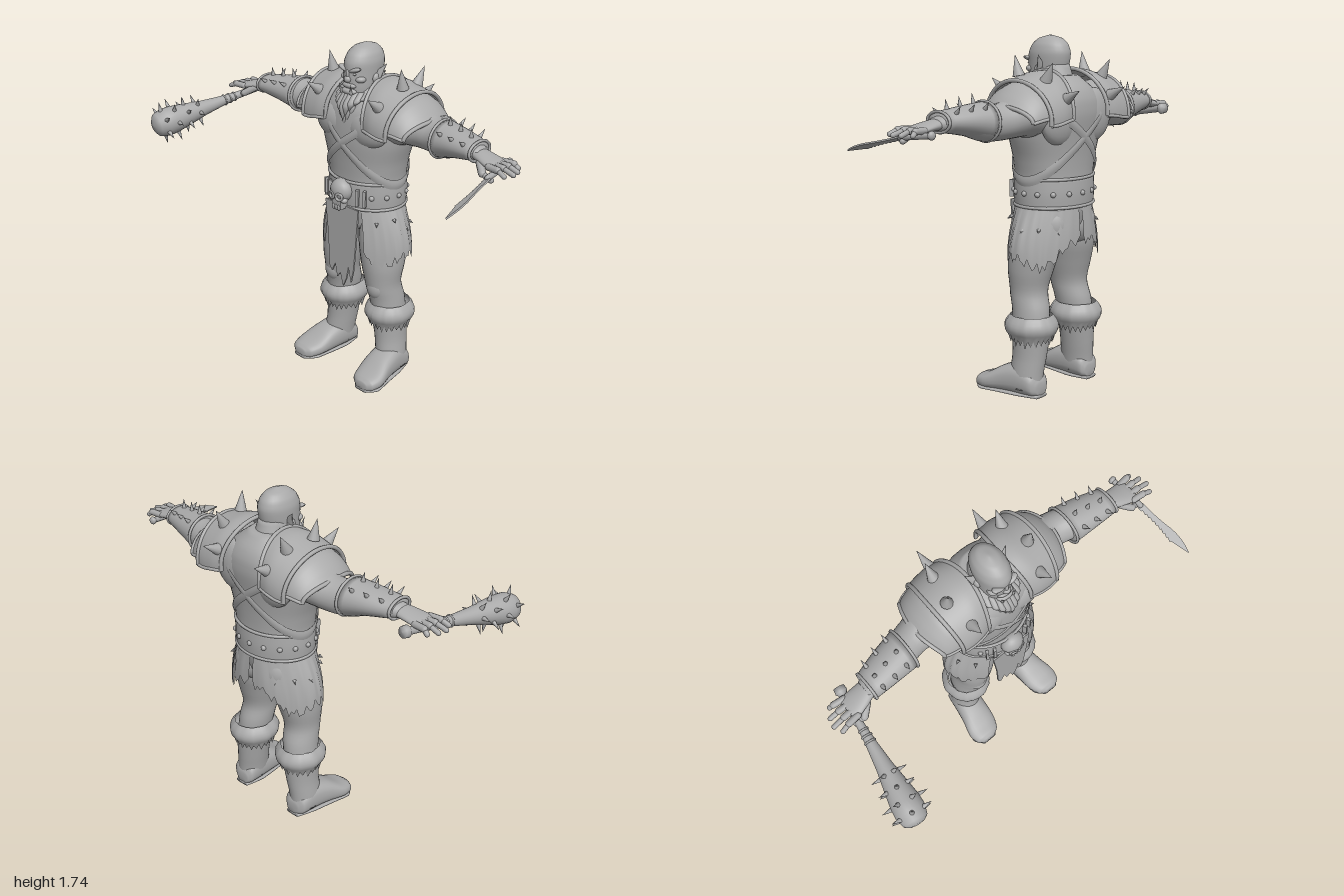
import * as THREE from 'three';

const grey = new THREE.MeshStandardMaterial({ color: 0xaaaaaa, side: THREE.DoubleSide });
const V = (x, y, z) => new THREE.Vector3(x, y, z);
const X = V(1, 0, 0), Y = V(0, 1, 0), Z = V(0, 0, 1);

export function createModel() {
  const model = new THREE.Group();
  model.name = 'armouredWarrior';
  const body = new THREE.Group();
  body.name = 'body';
  body.position.x = 0.045;
  model.add(body);

  const add = (name, geo, pos) => {
    const m = new THREE.Mesh(geo, grey);
    m.name = name;
    if (pos) m.position.copy(pos);
    body.add(m);
    return m;
  };
  const gridGeometry = (verts, idx) => {
    const g = new THREE.BufferGeometry();
    g.setAttribute('position', new THREE.Float32BufferAttribute(verts, 3));
    g.setIndex(idx);
    g.computeVertexNormals();
    return g;
  };
  // Smooth closed body through elliptical sections [x, y, z, ru, rv]
  const loft = (name, secs, u, v, pow = 1, n = 28) => {
    const first = V(...secs[0]), last = V(...secs[secs.length - 1]);
    if (u.clone().cross(v).dot(last.clone().sub(first)) < 0) {
      [u, v] = [v, u];
      secs = secs.map(([x, y, z, a, b]) => [x, y, z, b, a]);
    }
    const rnd = c => Math.sign(c) * Math.abs(c) ** pow, verts = [], idx = [];
    const curve = new THREE.CatmullRomCurve3(secs.map(s => V(...s)));
    const radii = new THREE.CatmullRomCurve3(secs.map(s => V(s[3], s[4], 0)));
    const rows = (secs.length - 1) * 4;
    for (let i = 0; i <= rows; i++) {
      const c = curve.getPoint(i / rows), r = radii.getPoint(i / rows);
      for (let j = 0; j < n; j++) {
        const a = j / n * Math.PI * 2;
        const p = c.clone().addScaledVector(u, r.x * rnd(Math.cos(a))).addScaledVector(v, r.y * rnd(Math.sin(a)));
        verts.push(p.x, p.y, p.z);
        const k = (j + 1) % n, b = i * n;
        if (i < rows) idx.push(b + j, b + k, b + n + j, b + k, b + n + k, b + n + j);
      }
    }
    verts.push(...first.toArray(), ...last.toArray());
    const e = (rows + 1) * n;
    for (let j = 0; j < n; j++) {
      const k = (j + 1) % n;
      idx.push(e, k, j, e + 1, rows * n + j, rows * n + k);
    }
    return add(name, gridGeometry(verts, idx));
  };
  // Open surface from a point function f(s, t)
  const sheet = (name, f, ns, nt) => {
    const verts = [], idx = [];
    for (let i = 0; i <= ns; i++) for (let j = 0; j <= nt; j++) {
      verts.push(...f(i / ns, j / nt).toArray());
      const a = i * (nt + 1) + j, b = a + nt + 1;
      if (i < ns && j < nt) idx.push(a, b, a + 1, b, b + 1, a + 1);
    }
    return add(name, gridGeometry(verts, idx));
  };
  const ball = (name, x, y, z, rx, ry, rz) => {
    const m = add(name, new THREE.SphereGeometry(1, 20, 14), V(x, y, z));
    m.scale.set(rx, ry, rz);
    return m;
  };
  const spike = (name, base, dir, len, r, n = 12) => {
    const d = dir.clone().normalize();
    const m = add(name, new THREE.ConeGeometry(r, len, n), base.clone().addScaledVector(d, len / 2 - 0.008));
    m.quaternion.setFromUnitVectors(Y, d);
    return m;
  };
  const tube = (name, pts, r, closed = false) =>
    add(name, new THREE.TubeGeometry(new THREE.CatmullRomCurve3(pts, closed), pts.length * 5, r, 8, closed));
  const limb = (name, a, b, r) => {
    const m = add(name, new THREE.CapsuleGeometry(r, a.distanceTo(b), 4, 10), a.clone().add(b).multiplyScalar(0.5));
    m.quaternion.setFromUnitVectors(Y, b.clone().sub(a).normalize());
    return m;
  };
  const noise = i => { const q = Math.sin(i * 127.1) * 43758.5; return q - Math.floor(q); };

  // Torso: [x, y, z, half width, half depth]
  const torso = [[0, 0.82, -0.18, 0.17, 0.145], [0, 0.93, -0.185, 0.2, 0.165], [0, 1.08, -0.185, 0.205, 0.165],
    [0, 1.17, -0.185, 0.22, 0.17], [0, 1.27, -0.187, 0.25, 0.18], [0, 1.36, -0.195, 0.265, 0.185],
    [0, 1.43, -0.2, 0.235, 0.178], [0, 1.49, -0.205, 0.17, 0.15], [0, 1.55, -0.2, 0.09, 0.1]];
  loft('torso', torso, X, Z, 0.9, 40);
  const girth = y => {
    let i = 0;
    while (i < torso.length - 2 && torso[i + 1][1] < y) i++;
    const t = Math.min(1, Math.max(0, (y - torso[i][1]) / (torso[i + 1][1] - torso[i][1])));
    return torso[i].map((c, k) => c + (torso[i + 1][k] - c) * t);
  };
  for (const s of [-1, 1]) {
    ball('chestMuscle', s * 0.1, 1.345, -0.075, 0.13, 0.1, 0.07);
    ball('shoulderBlade', s * 0.12, 1.36, -0.32, 0.12, 0.13, 0.055);
    ball('buttock', s * 0.085, 0.84, -0.26, 0.095, 0.11, 0.085);
  }
  // Crossed harness straps
  for (const s of [-1, 1]) {
    sheet('harnessStrap', (a, t) => {
      const th = a * Math.PI * 2, x = 0.25 * Math.sin(th), y = 1.265 + s * 0.82 * x + (t - 0.5) * 0.05;
      const g = girth(y), w = 1.05 + 0.025 * Math.sin(Math.PI * t);
      return V(g[3] * w * Math.sin(th), y, g[2] + (g[4] + 0.004) * w * Math.cos(th));
    }, 72, 4);
  }

  // Belt, rims, studs and skull buckle
  const oval = (y, rx, rz, z = -0.185, x = 0) => Array.from({ length: 16 }, (_, i) =>
    V(x + rx * Math.sin(i * Math.PI / 8), y, z + rz * Math.cos(i * Math.PI / 8)));
  loft('belt', [[0, 0.93, -0.185, 0.21, 0.176], [0, 1, -0.185, 0.214, 0.18], [0, 1.07, -0.185, 0.211, 0.177]], X, Z, 1, 40);
  for (const y of [0.935, 1.07]) tube('beltRim', oval(y, 0.21, 0.176), 0.008, true);
  for (let i = 2; i < 15; i++) {
    const a = i * Math.PI / 8;
    ball('beltStud', 0.213 * Math.sin(a), 1, -0.185 + 0.179 * Math.cos(a), 0.013, 0.013, 0.013);
  }
  for (const s of [-1, 1]) for (const d of [-0.018, 0.018])
    add('beltLoop', new THREE.BoxGeometry(0.014, 0.085, 0.02), V(s * 0.115 + d, 1, -0.02 - s * d * 0.4)).rotation.y = s * 0.45;
  ball('skull', 0, 1.02, 0.0, 0.062, 0.06, 0.05);
  add('skullJaw', new THREE.BoxGeometry(0.06, 0.05, 0.05), V(0, 0.955, 0.012));
  for (const s of [-1, 1]) {
    const eye = add('skullEyeSocket', new THREE.TorusGeometry(0.017, 0.007, 8, 16), V(s * 0.025, 1.0, 0.042));
    eye.rotation.y = s * 0.3;
    ball('skullCheek', s * 0.04, 0.98, 0.02, 0.018, 0.014, 0.02);
  }
  for (let i = -1; i <= 1; i++) ball('skullTooth', i * 0.018, 0.938, 0.036, 0.009, 0.016, 0.006);

  // Ragged loincloth
  const cloth = new THREE.Shape([[-0.115, 0.94], [0.115, 0.94], [0.1, 0.75], [0.085, 0.6], [0.068, 0.53], [0.05, 0.61],
    [0.035, 0.54], [0.012, 0.49], [-0.008, 0.56], [-0.03, 0.53], [-0.045, 0.6], [-0.07, 0.55], [-0.088, 0.58],
    [-0.095, 0.75]].map(p => new THREE.Vector2(...p)));
  add('loincloth', new THREE.ExtrudeGeometry(cloth, { depth: 0.009, bevelEnabled: false }), V(0, 0, -0.009));

  // Head and neck
  loft('neck', [[0, 1.44, -0.21, 0.11, 0.11], [0, 1.52, -0.195, 0.082, 0.092], [0, 1.6, -0.175, 0.07, 0.085]], X, Z);
  loft('head', [[0, 1.45, -0.11, 0.03, 0.04], [0, 1.475, -0.115, 0.058, 0.068], [0, 1.53, -0.13, 0.074, 0.09],
    [0, 1.59, -0.147, 0.079, 0.11], [0, 1.645, -0.153, 0.081, 0.114], [0, 1.69, -0.157, 0.07, 0.099],
    [0, 1.72, -0.16, 0.045, 0.065], [0, 1.735, -0.16, 0.006, 0.01]], X, Z);
  ball('nose', 0, 1.576, -0.042, 0.02, 0.018, 0.02);
  ball('noseBridge', 0, 1.598, -0.045, 0.011, 0.028, 0.014);
  ball('upperLip', 0, 1.545, -0.052, 0.042, 0.016, 0.022);
  ball('lowerLip', 0, 1.517, -0.05, 0.046, 0.018, 0.026);
  for (const s of [-1, 1]) {
    ball('brow', s * 0.034, 1.622, -0.054, 0.038, 0.011, 0.02).rotation.z = s * 0.3;
    ball('eye', s * 0.033, 1.603, -0.053, 0.01, 0.006, 0.008);
    ball('cheekbone', s * 0.046, 1.577, -0.08, 0.028, 0.018, 0.028);
    spike('tusk', V(s * 0.032, 1.517, -0.03), V(s * 0.15, 1, 0.25), 0.05, 0.008);
    const ear = spike('ear', V(s * 0.07, 1.575, -0.16), V(s * 0.65, 1, -0.35), 0.1, 0.032);
    ear.scale.z = 0.5;
    ball('earLobe', s * 0.08, 1.575, -0.155, 0.014, 0.025, 0.025);
  }
  // Beard locks, longest in the middle
  for (let row = 0; row < 2; row++) for (let i = -4; i <= 4; i++) {
    const x = i * 0.018, len = 0.165 - Math.abs(i) * 0.022 - row * 0.05, z = -0.055 + row * 0.014 - i * i * 0.0035;
    loft('beardLock', [[x, 1.515, z - 0.01, 0.014, 0.018], [x * 1.08, 1.5 - len * 0.45, z + 0.03, 0.02, 0.02],
      [x * 0.75 + 0.004, 1.5 - len, z + 0.038, 0.002, 0.002]], X, Z, 1, 10);
  }

  for (const s of [-1, 1]) {
    const P = (x, y, z) => V(s * x, y, z);
    const side = secs => secs.map(([x, ...r]) => [s * x, ...r]);

    // Skirt panel with a torn hem, short at the back
    sheet('skirtPanel', (a, t) => {
      const th = 0.5 + a * 2.6, i = Math.round(a * 44);
      const hem = 0.69 + 0.025 * Math.sin(th * 5) - (i % 4 ? 0.04 * noise(i + s * 7) : -0.012) + 0.12 * Math.max(0, th - 2.4);
      const ease = Math.sin(t * Math.PI / 2), fold = 0.005 * t * Math.sin(th * 5);
      return V(s * ((0.2 + 0.077 * ease + fold) * Math.sin(th)), 0.95 + (hem - 0.95) * t,
        -0.182 + (0.165 + 0.015 * ease + fold) * Math.cos(th));
    }, 44, 8);
    for (let i = 0; i < 5; i++) {
      const th = 0.8 + i * 0.45, y = 0.76 + 0.14 * noise(i + 3);
      spike('skirtTear', V(s * 0.255 * Math.sin(th), y, -0.182 + 0.172 * Math.cos(th)), V(s * Math.sin(th), -0.6, Math.cos(th)), 0.025, 0.01, 6);
    }

    // Leg, boot, foot and fur cuff
    loft('leg', side([[0.1, 0.92, -0.18, 0.095, 0.13], [0.125, 0.74, -0.175, 0.115, 0.135], [0.14, 0.62, -0.16, 0.105, 0.118],
      [0.148, 0.51, -0.155, 0.086, 0.098], [0.156, 0.43, -0.175, 0.085, 0.098], [0.167, 0.34, -0.185, 0.08, 0.095]]), X, Z);
    ball('kneecap', s * 0.152, 0.5, -0.1, 0.055, 0.065, 0.046);
    loft('bootShaft', side([[0.168, 0.32, -0.19, 0.088, 0.1], [0.178, 0.2, -0.187, 0.077, 0.09], [0.19, 0.11, -0.18, 0.074, 0.088],
      [0.195, 0.04, -0.18, 0.07, 0.085]]), X, Z);
    loft('foot', side([[0.185, 0.045, -0.272, 0.035, 0.03], [0.19, 0.062, -0.25, 0.065, 0.055], [0.195, 0.082, -0.17, 0.076, 0.08],
      [0.207, 0.069, -0.07, 0.083, 0.067], [0.222, 0.046, 0.01, 0.088, 0.044], [0.228, 0.036, 0.065, 0.07, 0.034],
      [0.23, 0.03, 0.088, 0.035, 0.022]]), X, Y, 0.8);
    loft('sole', side([[0.188, 0.009, -0.272, 0.04, 0.009], [0.195, 0.009, -0.17, 0.068, 0.009], [0.21, 0.009, -0.06, 0.076, 0.009],
      [0.225, 0.009, 0.03, 0.082, 0.009], [0.23, 0.009, 0.088, 0.04, 0.009]]), X, Y, 0.6);
    sheet('furCuff', (a, t) => {
      const th = a * Math.PI * 2, i = Math.round(a * 48) % 48, ragged = t > 0.95 ? (i % 2 ? 0.025 : 0) * (0.6 + noise(i)) : 0;
      const r = 0.088 + 0.036 * Math.sin(Math.PI * Math.min(1, t * 0.9 + 0.05)) + 0.005 * noise(i + 50);
      return V(s * 0.166 + r * Math.sin(th), 0.405 - 0.115 * t - ragged, -0.188 + (r + 0.008) * Math.cos(th));
    }, 48, 8);

    // Arm and flared bracer
    loft('upperArm', side([[0.16, 1.39, -0.2, 0.13, 0.11], [0.27, 1.39, -0.21, 0.13, 0.11], [0.35, 1.37, -0.22, 0.1, 0.092],
      [0.42, 1.357, -0.215, 0.086, 0.083], [0.5, 1.36, -0.195, 0.084, 0.084], [0.6, 1.37, -0.175, 0.075, 0.06],
      [0.74, 1.37, -0.15, 0.045, 0.03]]), Z, Y);
    const bracer = [[0.48, 1.365, -0.19, 0.102, 0.09], [0.6, 1.375, -0.172, 0.09, 0.066], [0.72, 1.378, -0.152, 0.072, 0.046]];
    loft('bracer', side(bracer), Z, Y);
    for (const [x, y, z, rz, ry] of [bracer[0], bracer[2]]) tube('bracerRim', Array.from({ length: 16 }, (_, i) =>
      P(x, y + ry * Math.cos(i * Math.PI / 8), z + rz * Math.sin(i * Math.PI / 8))), 0.007, true);
    for (const x of [0.53, 0.6, 0.67]) for (const a of [-0.75, 0.1, 0.95]) {
      const k = (x - 0.48) / 0.24, rz = 0.1 - 0.03 * k, ry = 0.088 - 0.042 * k;
      spike('bracerSpike', P(x, 1.367 + 0.01 * k + ry * Math.cos(a), -0.19 + 0.038 * k + rz * Math.sin(a)),
        V(s * 0.1, Math.cos(a), Math.sin(a)), 0.055, 0.013, 10);
    }

    // Hand with spread fingers
    loft('palm', side([[0.71, 1.37, -0.15, 0.045, 0.028], [0.77, 1.362, -0.14, 0.055, 0.024], [0.83, 1.352, -0.133, 0.062, 0.02],
      [0.855, 1.35, -0.132, 0.05, 0.014]]), Z, Y);
    for (let i = 0; i < 4; i++) {
      const z = -0.182 + i * 0.034, tip = [0.905, 0.933, 0.943, 0.925][i], zt = z - 0.012 + i * 0.008;
      limb('finger', P(0.83, 1.352, z), P(0.885, 1.353, (z + zt) / 2), 0.016);
      limb('fingertip', P(0.885, 1.353, (z + zt) / 2), P(tip, 1.337, zt), 0.012);
    }
    limb('thumb', P(0.765, 1.35, -0.1), P(0.81, 1.32, -0.065), 0.018);
    limb('thumbTip', P(0.81, 1.32, -0.065), P(0.855, 1.3, -0.07), 0.014);

    // Two-tier arched pauldron: rows of [x, centre y, rise, half depth, end shift in x]
    const tiers = [[[0.09, 1.375, 0.2, 0.2, 0.035], [0.16, 1.37, 0.202, 0.212, 0.02], [0.23, 1.36, 0.195, 0.212, 0], [0.3, 1.355, 0.183, 0.205, -0.02]],
      [[0.25, 1.36, 0.175, 0.198, -0.01], [0.32, 1.36, 0.15, 0.19, -0.025], [0.37, 1.355, 0.115, 0.18, -0.035], [0.405, 1.35, 0.08, 0.168, -0.045]]];
    tiers.forEach((rows, k) => {
      const reach = k ? 1.5 : 1.65;
      const at = ([x, y, h, d, w], th) =>
        P(x + w * Math.sin(th) ** 2, y + h * Math.cos(th), -0.212 + d * Math.sin(th));
      const xy = new THREE.CatmullRomCurve3(rows.map(r => V(r[0], r[1], r[4])));
      const hd = new THREE.CatmullRomCurve3(rows.map(r => V(r[2], r[3], 0)));
      sheet(k ? 'outerPauldron' : 'innerPauldron', (a, t) => {
        const p = xy.getPoint(t), q = hd.getPoint(t);
        return at([p.x, p.y, q.x, q.y, p.z], (a * 2 - 1) * reach);
      }, 32, 12);
      const arc = row => Array.from({ length: 13 }, (_, i) => at(row, (i / 6 - 1) * reach));
      for (const row of k ? [rows[3]] : [rows[0], rows[3]]) tube('pauldronRim', arc(row), 0.01);
      for (const e of [-1, 1]) tube('pauldronHem', rows.map(r => at(r, e * reach)), 0.008);
      if (k) return;
      [[-1.1, 0.16], [-0.5, 0.2], [0.2, 0.235], [0.95, 0.2]].forEach(([th, x]) =>
        spike('pauldronSpike', at([x, 1.365, 0.2, 0.21, 0], th), V(s * 0.05, Math.cos(th), Math.sin(th)), 0.1, 0.03));
    });
  }

  // Spiked club held in the right hand
  const butt = V(-0.815, 1.335, -0.25), end = V(-0.925, 1.225, 0.45);
  const along = end.clone().sub(butt), len = along.length(), axis = along.clone().normalize();
  const prof = [[0, 0], [0.027, 0.005], [0.029, 0.03], [0.018, 0.045], [0.019, 0.2], [0.026, 0.3], [0.04, 0.42], [0.058, 0.52],
    [0.071, 0.6], [0.073, 0.65], [0.06, 0.695], [0.035, 0.712], [0, len]].map(p => new THREE.Vector2(...p));
  add('club', new THREE.LatheGeometry(prof, 24), butt).quaternion.setFromUnitVectors(Y, axis);
  const side1 = axis.clone().cross(Y).normalize(), side2 = axis.clone().cross(side1);
  [[0.46, 0.044], [0.53, 0.058], [0.6, 0.069], [0.66, 0.069]].forEach(([d, r], k) => {
    for (let i = 0; i < 6; i++) {
      const a = i * Math.PI / 3 + k * 0.52;
      const dir = side1.clone().multiplyScalar(Math.cos(a)).addScaledVector(side2, Math.sin(a));
      spike('clubSpike', butt.clone().addScaledVector(axis, d).addScaledVector(dir, r), dir, 0.055, 0.013, 10);
    }
  });
  for (const d of [0.23, 0.26, 0.29]) {
    const wrap = add('clubWrap', new THREE.TorusGeometry(0.019 + (d - 0.2) * 0.07, 0.005, 8, 20), butt.clone().addScaledVector(axis, d));
    wrap.quaternion.setFromUnitVectors(Z, axis);
  }

  // Serrated knife held in the left hand
  const pommel = V(0.832, 1.335, -0.23), guard = V(0.852, 1.315, -0.05), tip = V(0.878, 1.235, 0.26);
  limb('knifeHandle', pommel, guard, 0.014);
  ball('knifePommel', pommel.x, pommel.y, pommel.z, 0.02, 0.02, 0.015);
  const blade = new THREE.Shape();
  blade.moveTo(-0.018, 0);
  for (let i = 1; i < 10; i++) blade.lineTo(-0.02 + 0.008 * Math.sin(i / 3), i * 0.025).lineTo(-0.013 + 0.008 * Math.sin(i / 3), i * 0.025 + 0.004);
  blade.lineTo(0.012, 0.33).quadraticCurveTo(0.04, 0.26, 0.03, 0.18).quadraticCurveTo(0.014, 0.08, 0.016, 0);
  const knife = add('knifeBlade', new THREE.ExtrudeGeometry(blade, { depth: 0.008, bevelEnabled: false }), guard);
  knife.quaternion.setFromUnitVectors(Y, tip.clone().sub(guard).normalize());
  knife.rotateY(0.5);
  return model;
}
